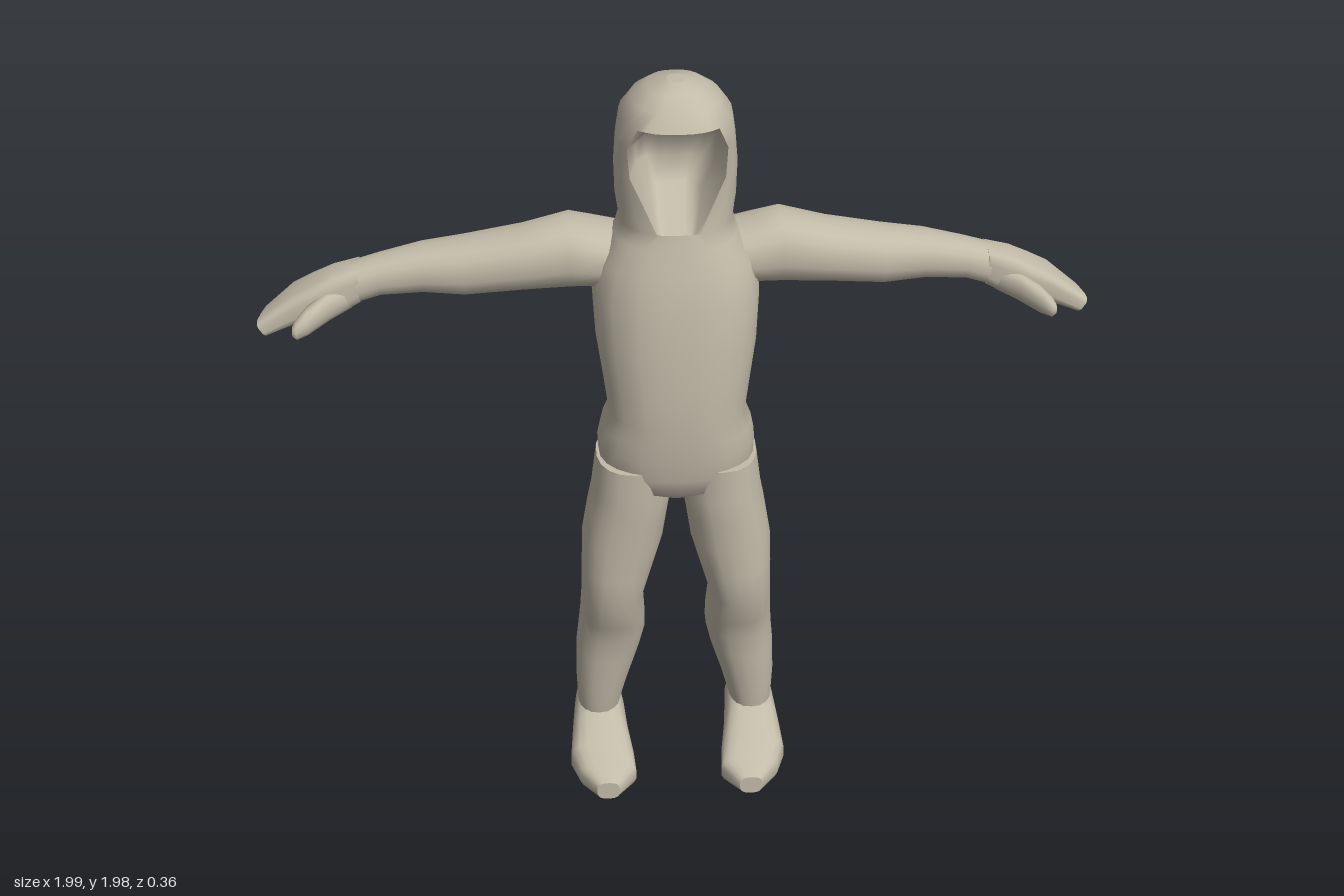
import * as THREE from 'three';

const suit = new THREE.MeshStandardMaterial({ color: 0xc2bba9 });
suit.name = 'suit beige';

// Signed power that turns a circle into a rounded square
const sp = (v, e) => Math.sign(v) * Math.abs(v) ** (2 / e);

// Builds a surface through rows of points; skip(i, j) leaves faces out
function skin(rows, { closed = true, caps = true, flip = false, skip = () => false } = {}) {
  const n = rows[0].length, pos = rows.flat(2), index = [];
  const tri = (a, b, c) => (flip ? index.push(a, c, b) : index.push(a, b, c));
  for (let i = 0; i < rows.length - 1; i++) {
    for (let j = 0; j < (closed ? n : n - 1); j++) {
      if (skip(i, j)) continue;
      const k = (j + 1) % n;
      const a = i * n + j, b = i * n + k, c = a + n, d = b + n;
      tri(a, b, d);
      tri(a, d, c);
    }
  }
  if (caps) {
    [rows[0], rows[rows.length - 1]].forEach((row, end) => {
      const base = pos.length / 3;
      pos.push(...row.flat());
      pos.push(...[0, 1, 2].map((q) => row.reduce((s, p) => s + p[q], 0) / n));
      for (let j = 0; j < n; j++) {
        const a = base + j, b = base + ((j + 1) % n);
        end ? tri(a, b, base + n) : tri(b, a, base + n);
      }
    });
  }
  const g = new THREE.BufferGeometry();
  g.setAttribute('position', new THREE.Float32BufferAttribute(pos, 3));
  g.setIndex(index);
  g.computeVertexNormals();
  return g;
}

function part(name, geometry) {
  const m = new THREE.Mesh(geometry, suit);
  m.name = name;
  return m;
}

// Limb along an axis. Each section: [position, lowA, highA, lowB, highB, tilt]
// y axis: A = x, B = z;  x axis: A = y, B = z;  z axis: A = x, B = y
function limb(name, axis, sections, side, e = 2.3, n = 18) {
  const rows = sections.map(([t, a0, a1, b0, b1, tilt = 0]) => {
    const ca = (a0 + a1) / 2, ra = (a1 - a0) / 2, cb = (b0 + b1) / 2, rb = (b1 - b0) / 2;
    return Array.from({ length: n }, (_, j) => {
      const w = (j / n) * Math.PI * 2;
      const s = sp(Math.sin(w), e), c = sp(Math.cos(w), e);
      if (axis === 'y') return [side * (ca + ra * s), t, cb + rb * c];
      if (axis === 'x') return [side * (t + tilt * (s + c)), ca + ra * c, cb + rb * s];
      return [side * (ca - ra * s), cb + rb * c, t];
    });
  });
  return part(name, skin(rows, { flip: side < 0 }));
}

// Torso and hood sections: [y, half width, back z, front z, half width of face opening]
const BODY = [
  [0.89, 0.04, -0.06, 0.07],
  [0.93, 0.17, -0.135, 0.12],
  [0.98, 0.193, -0.155, 0.135],
  [1.04, 0.195, -0.155, 0.145],
  [1.09, 0.185, -0.14, 0.15],
  [1.14, 0.168, -0.112, 0.155],
  [1.22, 0.178, -0.122, 0.158],
  [1.33, 0.194, -0.155, 0.155],
  [1.45, 0.2, -0.172, 0.147],
  [1.54, 0.185, -0.172, 0.13],
  [1.6, 0.145, -0.163, 0.115],
  [1.64, 0.134, -0.153, 0.107, 0.05],
  [1.70, 0.142, -0.15, 0.106, 0.076],
  [1.77, 0.144, -0.16, 0.108, 0.11],
  [1.84, 0.139, -0.167, 0.114, 0.115],
  [1.90, 0.13, -0.156, 0.126, 0.092],
  [1.94, 0.102, -0.125, 0.105],
  [1.967, 0.065, -0.085, 0.07],
  [1.98, 0.02, -0.03, 0.02],
];
const FACE_COLS = 8, BACK_COLS = 20, E = 2.4;

function bodyRow([y, rx, back, front, open]) {
  const cz = (front + back) / 2, rz = (front - back) / 2;
  const a0 = Math.asin(((open ?? rx * 0.6) / rx) ** (E / 2));
  const angles = [];
  for (let j = 0; j < FACE_COLS; j++) angles.push(a0 * ((2 * j) / FACE_COLS - 1));
  for (let j = 0; j < BACK_COLS; j++) angles.push(a0 + ((2 * Math.PI - 2 * a0) * j) / BACK_COLS);
  return angles.map((a) => [rx * sp(Math.sin(a), E), y, cz + rz * sp(Math.cos(a), E)]);
}

const LEG = [
  [0.15, 0.15, 0.262, -0.15, 0.0],
  [0.25, 0.125, 0.265, -0.155, 0.018],
  [0.35, 0.095, 0.262, -0.16, 0.03],
  [0.42, 0.08, 0.255, -0.15, 0.042],
  [0.48, 0.08, 0.25, -0.132, 0.062],
  [0.57, 0.085, 0.245, -0.112, 0.103],
  [0.66, 0.06, 0.243, -0.112, 0.11],
  [0.75, 0.035, 0.24, -0.115, 0.115],
  [0.84, 0.022, 0.225, -0.118, 0.122],
  [0.9, 0.012, 0.213, -0.12, 0.127],
  [1.0, 0.01, 0.2, -0.12, 0.13],
];

const FOOT = [
  [-0.18, 0.155, 0.262, 0.005, 0.07],
  [-0.155, 0.145, 0.267, 0.003, 0.15],
  [-0.08, 0.138, 0.272, 0.003, 0.19],
  [0.0, 0.13, 0.28, 0.003, 0.155],
  [0.08, 0.117, 0.287, 0.003, 0.115],
  [0.135, 0.113, 0.265, 0.003, 0.09],
  [0.182, 0.16, 0.22, 0.008, 0.062],
];

const ARM = [
  [0.1, 1.46, 1.585, -0.14, 0.05],
  [0.19, 1.452, 1.607, -0.145, 0.048],
  [0.25, 1.45, 1.624, -0.14, 0.046],
  [0.36, 1.447, 1.597, -0.128, 0.042],
  [0.5, 1.43, 1.567, -0.132, 0.022],
  [0.6, 1.438, 1.553, -0.122, 0.01],
  [0.7, 1.432, 1.53, -0.108, 0.0],
  [0.77, 1.412, 1.512, -0.1, 0.002],
];

const HAND = [
  [0.75, 1.42, 1.515, -0.1, 0.0],
  [0.81, 1.39, 1.502, -0.1, 0.012],
  [0.86, 1.385, 1.476, -0.107, 0.014],
  [0.91, 1.372, 1.45, -0.107, 0.012],
  [0.975, 1.35, 1.392, -0.1, 0.015, 0.0125],
];

const THUMB = [
  [0.77, 1.41, 1.47, -0.05, 0.0],
  [0.82, 1.395, 1.465, -0.03, 0.035],
  [0.87, 1.38, 1.445, 0.01, 0.078],
  [0.895, 1.377, 1.425, 0.04, 0.088],
  [0.905, 1.385, 1.41, 0.055, 0.08],
];

export function createModel() {
  const model = new THREE.Group();
  model.name = 'hoodedFigure';

  // Torso and hood in one skin, left open at the face
  const rows = BODY.map(bodyRow);
  const first = BODY.findIndex((r) => r[4]);
  const last = first + BODY.filter((r) => r[4]).length - 1;
  model.add(part('torsoAndHood', skin(rows, {
    skip: (i, j) => i >= first && i < last && j < FACE_COLS,
  })));

  // Hollow inside the hood
  const hollow = rows.slice(first, last + 1).map((row, i, all) =>
    row.slice(0, FACE_COLS + 1).map(([x, y, z], j) => {
      const u = (2 * j) / FACE_COLS - 1;
      const inner = i > 0 && i < all.length - 1 ? 1 : 0;
      return [x, y, z - 0.16 * inner * (1 - u ** 4)];
    }));
  model.add(part('hoodHollow', skin(hollow, { closed: false, caps: false })));

  // Mirrored limbs
  for (const [label, side] of [['left', 1], ['right', -1]]) {
    model.add(
      limb(label + 'Leg', 'y', LEG, side),
      limb(label + 'Foot', 'z', FOOT, side, 2.8),
      limb(label + 'Arm', 'x', ARM, side),
      limb(label + 'Hand', 'x', HAND, side, 3.5),
      limb(label + 'Thumb', 'x', THUMB, side, 2.3, 12),
    );
  }
  return model;
}
